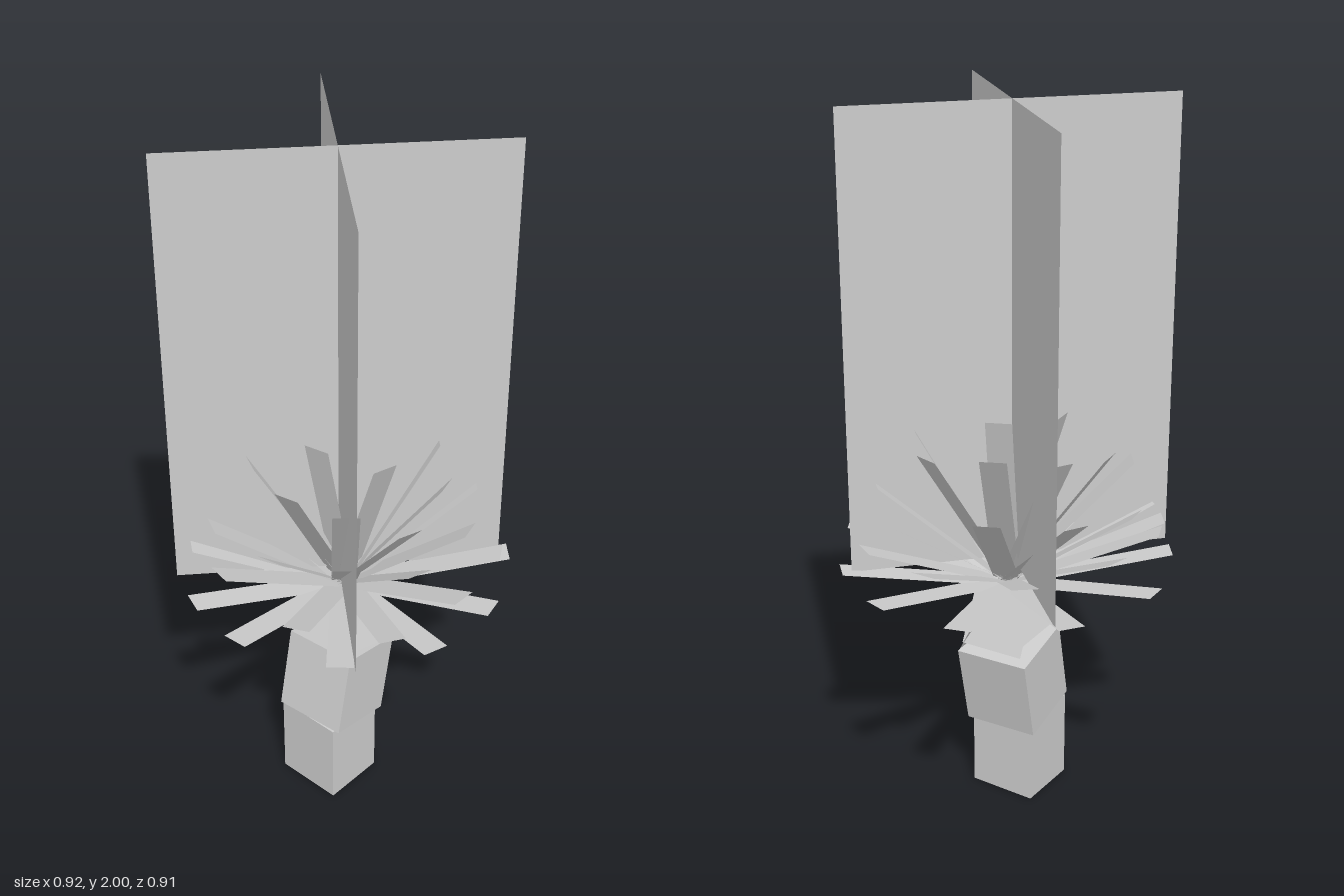
import * as THREE from 'three';

const grey = new THREE.MeshStandardMaterial({ color: 0xcccccc, flatShading: true });
const thin = new THREE.MeshStandardMaterial({ color: 0xcccccc, flatShading: true, side: THREE.DoubleSide });
const CROWN_Y = 0.67;

// Leaf tips as [x, z], one list per whorl from the lowest to the steepest
const whorls = [
  [[0, 0.455], [0.28, 0.36], [0.432, 0.15], [0.45, -0.085], [0.338, -0.316], [0.137, -0.443],
    [-0.118, -0.447], [-0.364, -0.29], [-0.46, -0.005], [-0.375, 0.26], [-0.194, 0.41]],
  [[0, -0.42], [0.226, -0.36], [0.386, -0.206], [0.43, 0.03], [0.365, 0.25], [0.167, 0.4],
    [-0.106, 0.393], [-0.275, 0.322], [-0.398, 0.138], [-0.398, -0.11], [-0.257, -0.34]],
  [[0.098, -0.372], [0.263, -0.247], [0.363, -0.083], [0.358, 0.128], [0.235, 0.276], [0.047, 0.363],
    [-0.19, 0.325], [-0.355, 0.242], [-0.381, 0.027], [-0.318, -0.19], [-0.137, -0.333]],
  [[0.08, -0.278], [0.184, -0.175], [0.292, -0.069], [0.31, 0.11], [0.19, 0.223], [0.035, 0.277],
    [-0.134, 0.226], [-0.282, 0.19], [-0.3, 0.02], [-0.246, -0.147], [-0.105, -0.248]],
  [[0.017, 0.134], [0.186, 0.06], [-0.053, -0.134], [-0.16, 0.012]],
];

// Tip height falls as the leaf reaches further out
const reachHeight = [[0.13, 1.2], [0.28, 1.13], [0.37, 0.98], [0.41, 0.875], [0.437, 0.84], [0.455, 0.75], [0.5, 0.75]];
function tipHeight(r) {
  const i = Math.max(1, reachHeight.findIndex(([reach]) => reach >= r));
  const [r0, y0] = reachHeight[i - 1], [r1, y1] = reachHeight[i];
  return THREE.MathUtils.mapLinear(r, r0, r1, y0, y1);
}

// Flat strip running from the crown to the middle of its far edge
function strip(name, width, x, y, z) {
  const reach = Math.hypot(x, z), rise = y - CROWN_Y;
  const length = Math.hypot(reach, rise);
  const geometry = new THREE.PlaneGeometry(width, length)
    .translate(0, length / 2, 0)
    .rotateX(Math.atan2(reach, rise))
    .rotateY(Math.atan2(x, z));
  const mesh = new THREE.Mesh(geometry, thin);
  mesh.name = name;
  mesh.position.y = CROWN_Y;
  return mesh;
}

function trunkBlock(name, size, position, rotation) {
  const mesh = new THREE.Mesh(new THREE.BoxGeometry(...size), grey);
  mesh.name = name;
  mesh.position.set(...position);
  mesh.rotation.set(...rotation);
  return mesh;
}

export function createModel() {
  const model = new THREE.Group();
  model.name = 'floweringPlant';

  // Trunk: upright base and a leaning block
  model.add(trunkBlock('trunkBase', [0.197, 0.258, 0.184], [-0.001, 0.129, 0.067], [0, -0.05, 0]));
  model.add(trunkBlock('trunkMiddle', [0.215, 0.245, 0.207], [0.002, 0.362, 0.036], [-0.21, 0.02, 0]));

  // Skirt: four wide flaps drooping from the crown
  const skirt = new THREE.Group();
  skirt.name = 'skirt';
  for (const [x, y, z] of [[0, 0.517, 0.1], [0, 0.49, -0.09], [-0.09, 0.517, 0], [0.1, 0.47, 0]]) {
    skirt.add(strip('skirtFlap', 0.188, x, y, z));
  }
  model.add(skirt);

  // Leaves: whorls from almost flat to nearly upright
  whorls.forEach((tips, i) => {
    const whorl = new THREE.Group();
    whorl.name = `leafWhorl${i + 1}`;
    for (const [x, z] of tips) {
      const r = Math.hypot(x, z);
      whorl.add(strip('leaf', 0.072, x, i === 0 ? 0.75 : tipHeight(r), z));
    }
    model.add(whorl);
  });

  // Flower stalk: two tall crossed cards
  for (const turn of [1, -1]) {
    const card = new THREE.Mesh(new THREE.PlaneGeometry(0.9, 1.26), thin);
    card.name = 'flowerCard';
    card.position.set(0, 1.37, 0.023);
    card.rotation.y = turn * Math.PI / 4;
    model.add(card);
  }
  return model;
}
